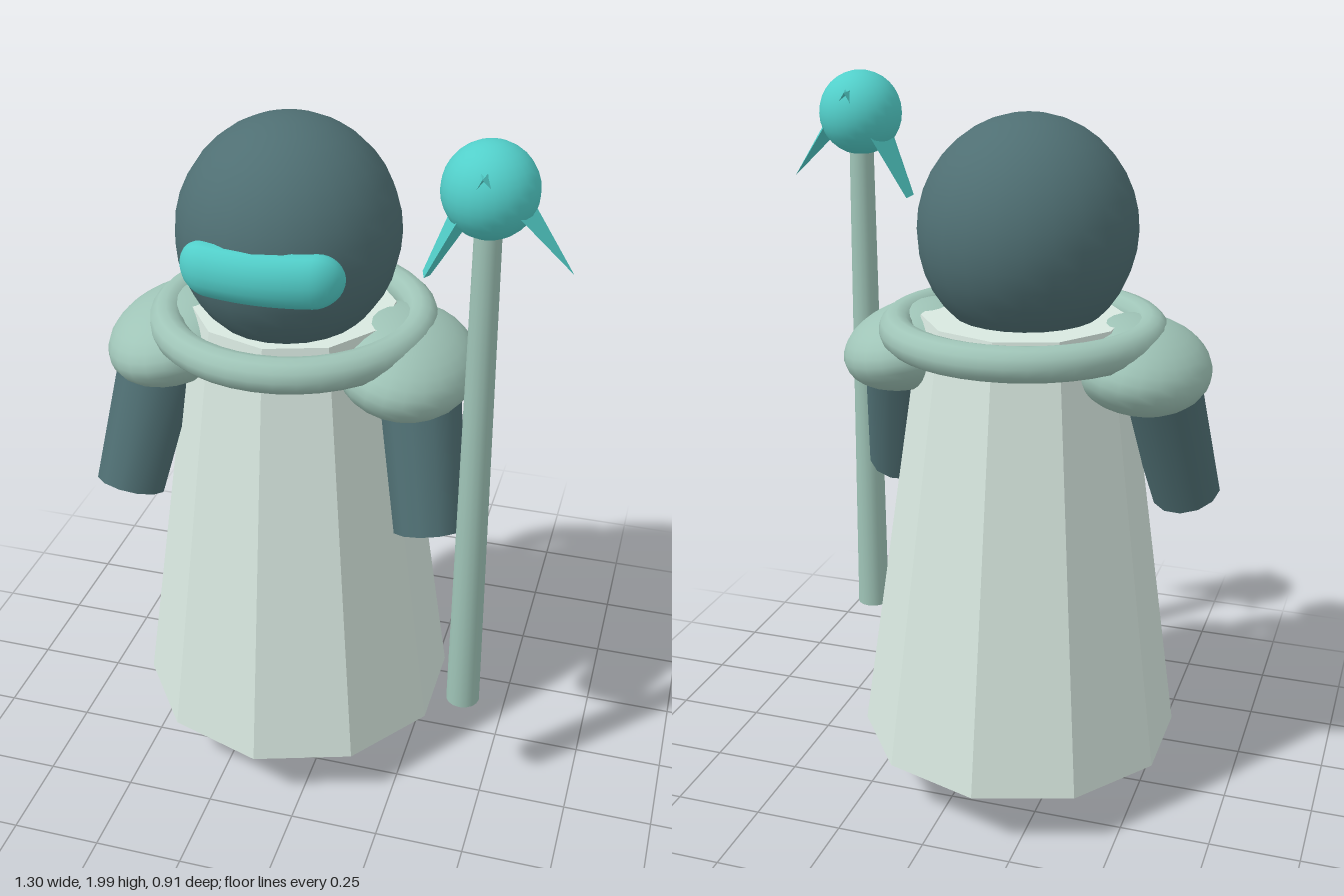
import * as THREE from 'three';

const mat = (color, flatShading = false) => new THREE.MeshStandardMaterial({ color, flatShading });
const CX = -0.127; // centre line of the figure

export function createModel() {
  const model = new THREE.Group();
  const dark = mat(0x4f6f73), sage = mat(0x9fc4b7), pale = mat(0xd8e8e0, true);
  const glow = mat(0x52cfca), glowFlat = mat(0x52cfca, true);

  const add = (name, geometry, material, x = 0, y = 0, z = 0, parent = model) => {
    const mesh = new THREE.Mesh(geometry, material);
    mesh.name = name;
    mesh.position.set(x, y, z);
    parent.add(mesh);
    return mesh;
  };

  // Tapered cylinder running from point a (radius ra) up to point b (radius rb)
  const limb = (name, a, b, ra, rb, parent) => {
    const dir = b.clone().sub(a), mid = a.clone().add(b).multiplyScalar(0.5);
    const mesh = add(name, new THREE.CylinderGeometry(rb, ra, dir.length(), 12), dark, ...mid, parent);
    mesh.quaternion.setFromUnitVectors(new THREE.Vector3(0, 1, 0), dir.normalize());
  };

  // Ten-sided robe with a corner facing forward
  add('robe', new THREE.CylinderGeometry(0.278, 0.455, 1.245, 10), pale, CX, 0.7775, 0);

  // Head
  add('head', new THREE.SphereGeometry(1, 24, 18), dark, CX, 1.626, 0.032).scale.set(0.297, 0.309, 0.31);

  // Visor: flattened capsule bent around the face
  const visor = new THREE.CapsuleGeometry(0.072, 0.286, 8, 16, 16);
  visor.rotateZ(Math.PI / 2);
  visor.scale(1, 1, 0.7);
  const p = visor.attributes.position;
  for (let i = 0; i < p.count; i++) p.setZ(i, p.getZ(i) - 0.9 * p.getX(i) ** 2);
  visor.computeVertexNormals();
  add('visor', visor, glow, CX + 0.007, 1.62, 0.322);

  // Collar ring
  const collar = new THREE.TorusGeometry(0.345, 0.048, 12, 40);
  collar.rotateX(Math.PI / 2);
  add('collar', collar, sage, CX, 1.365, 0);

  // Shoulders, arms and legs, mirrored about the centre line
  for (const s of [-1, 1]) {
    const side = new THREE.Group();
    side.name = s > 0 ? 'leftLimbs' : 'rightLimbs';
    side.position.x = CX;
    model.add(side);
    const v = (x, y, z) => new THREE.Vector3(s * x, y, z);

    const shoulder = add('shoulder', new THREE.SphereGeometry(1, 24, 16), sage, s * 0.322, 1.285, 0.025, side);
    shoulder.scale.set(0.193, 0.118, 0.26);
    shoulder.rotation.z = -s * 0.2;

    limb('arm', v(0.433, 0.865, 0.19), v(0.355, 1.31, 0.035), 0.098, 0.118, side);
    limb('leg', v(0.172, 0.06, 0.1), v(0.172, 0.36, -0.075), 0.104, 0.125, side);
  }

  // Staff with orb
  const staff = new THREE.Group();
  staff.name = 'staff';
  staff.position.set(0.434, 0, 0.242);
  model.add(staff);
  add('shaft', new THREE.CylinderGeometry(0.034, 0.047, 1.475, 16), sage, 0, 1.0825, 0, staff);
  add('orb', new THREE.SphereGeometry(0.118, 24, 16), glow, 0, 1.882, 0, staff);

  // Flat prongs drooping from the orb: tip offset and tip radius
  for (const [dx, dy, tip] of [[0.209, -0.258, 0.001], [-0.146, -0.3, 0.03]]) {
    const geo = new THREE.CylinderGeometry(tip, 0.118, Math.hypot(dx, dy), 4);
    geo.scale(0.35, 1, 1);
    const prong = add('prong', geo, glowFlat, dx / 2, 1.95 + dy / 2, 0, staff);
    prong.rotation.z = Math.atan2(-dx, dy);
  }

  return model;
}
